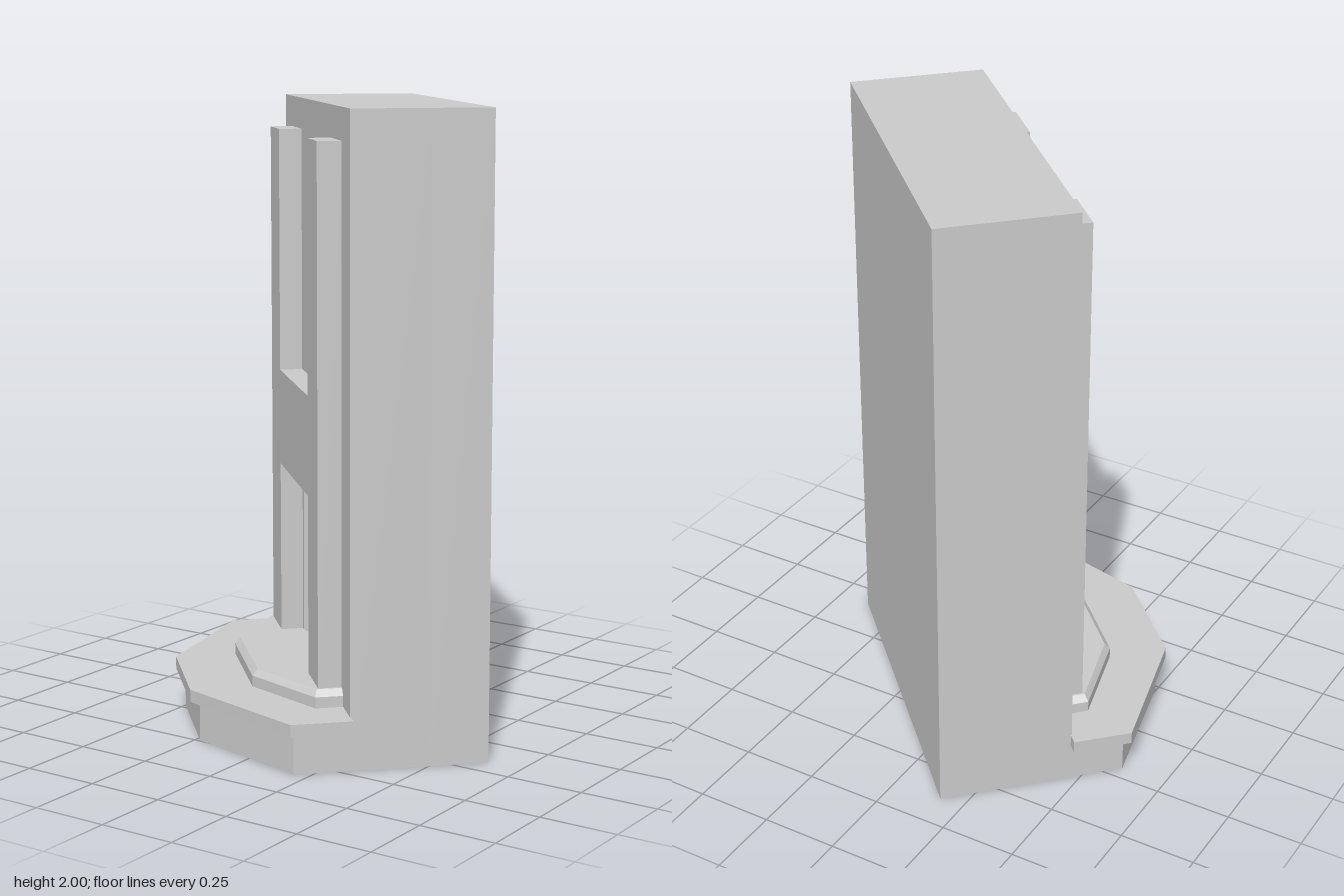
import * as THREE from 'three';
import { ConvexGeometry } from 'three/addons/geometries/ConvexGeometry.js';

const WALL_FRONT = 0.105, WALL_BACK = -0.329, NICHE_BACK = -0.142;

export function createModel() {
  const model = new THREE.Group();
  model.name = 'wallWithNiche';
  const material = new THREE.MeshStandardMaterial({ color: 0xcccccc, flatShading: true });

  const add = (name, geometry) => {
    const mesh = new THREE.Mesh(geometry, material);
    mesh.name = name;
    model.add(mesh);
  };
  const box = (name, x0, x1, y0, y1, z0, z1) => {
    const g = new THREE.BoxGeometry(x1 - x0, y1 - y0, z1 - z0);
    g.translate((x0 + x1) / 2, (y0 + y1) / 2, (z0 + z1) / 2);
    add(name, g);
  };
  const rect = (Type, x, y0, y1) => {
    const p = new Type();
    p.moveTo(-x, y0).lineTo(x, y0).lineTo(x, y1).lineTo(-x, y1).closePath();
    return p;
  };
  // Mirrored half-octagon outline in x and z, straight along the wall
  const outline = (side, sideZ, front, frontZ) => [
    [-side, WALL_FRONT - 0.003], [-side, sideZ], [-front, frontZ],
    [front, frontZ], [side, sideZ], [side, WALL_FRONT - 0.003],
  ];
  const prism = (name, points, y0, y1) => {
    const shape = new THREE.Shape(points.map(([x, z]) => new THREE.Vector2(x, z)));
    const g = new THREE.ExtrudeGeometry(shape, { depth: y1 - y0, bevelEnabled: false });
    g.rotateX(Math.PI / 2).translate(0, y1, 0);
    add(name, g);
  };

  // Wall: solid back slab and a front slab pierced by the niche
  box('wallBack', -0.567, 0.567, 0, 2, WALL_BACK, NICHE_BACK);
  const wall = rect(THREE.Shape, 0.567, 0, 2);
  wall.holes.push(rect(THREE.Path, 0.241, 0.22, 0.77));
  const wallGeometry = new THREE.ExtrudeGeometry(wall, { depth: WALL_FRONT - NICHE_BACK, bevelEnabled: false });
  add('wallFront', wallGeometry.translate(0, 0, NICHE_BACK));

  // Faceted plinth with its overhanging ledge
  prism('plinth', outline(0.565, 0.279, 0.187, 0.515), 0, 0.13);
  prism('ledge', outline(0.605, 0.294, 0.19, 0.545), 0.13, 0.17);

  // Bevelled step on the ledge
  const lower = outline(0.457, 0.192, 0.19, 0.347);
  const upper = outline(0.438, 0.185, 0.186, 0.329);
  const ring = (points, y) => points.map(([x, z]) => new THREE.Vector3(x, y, z));
  add('step', new ConvexGeometry([...ring(lower, 0.17), ...ring(lower, 0.205), ...ring(upper, 0.225)]));

  // Raised frame: two posts joined by a crossbar
  const frame = new THREE.Shape([
    [-0.431, 0.22], [-0.262, 0.22], [-0.262, 0.795], [0.262, 0.795], [0.262, 0.22], [0.431, 0.22],
    [0.431, 1.9], [0.262, 1.9], [0.262, 1.11], [-0.262, 1.11], [-0.262, 1.9], [-0.431, 1.9],
  ].map(([x, y]) => new THREE.Vector2(x, y)));
  const frameGeometry = new THREE.ExtrudeGeometry(frame, { depth: 0.075, bevelEnabled: false });
  add('frame', frameGeometry.translate(0, 0, WALL_FRONT - 0.001));

  // The whole piece stands diagonally
  model.rotation.y = -Math.PI / 4;
  const root = new THREE.Group();
  root.name = 'model';
  root.add(model);
  return root;
}
